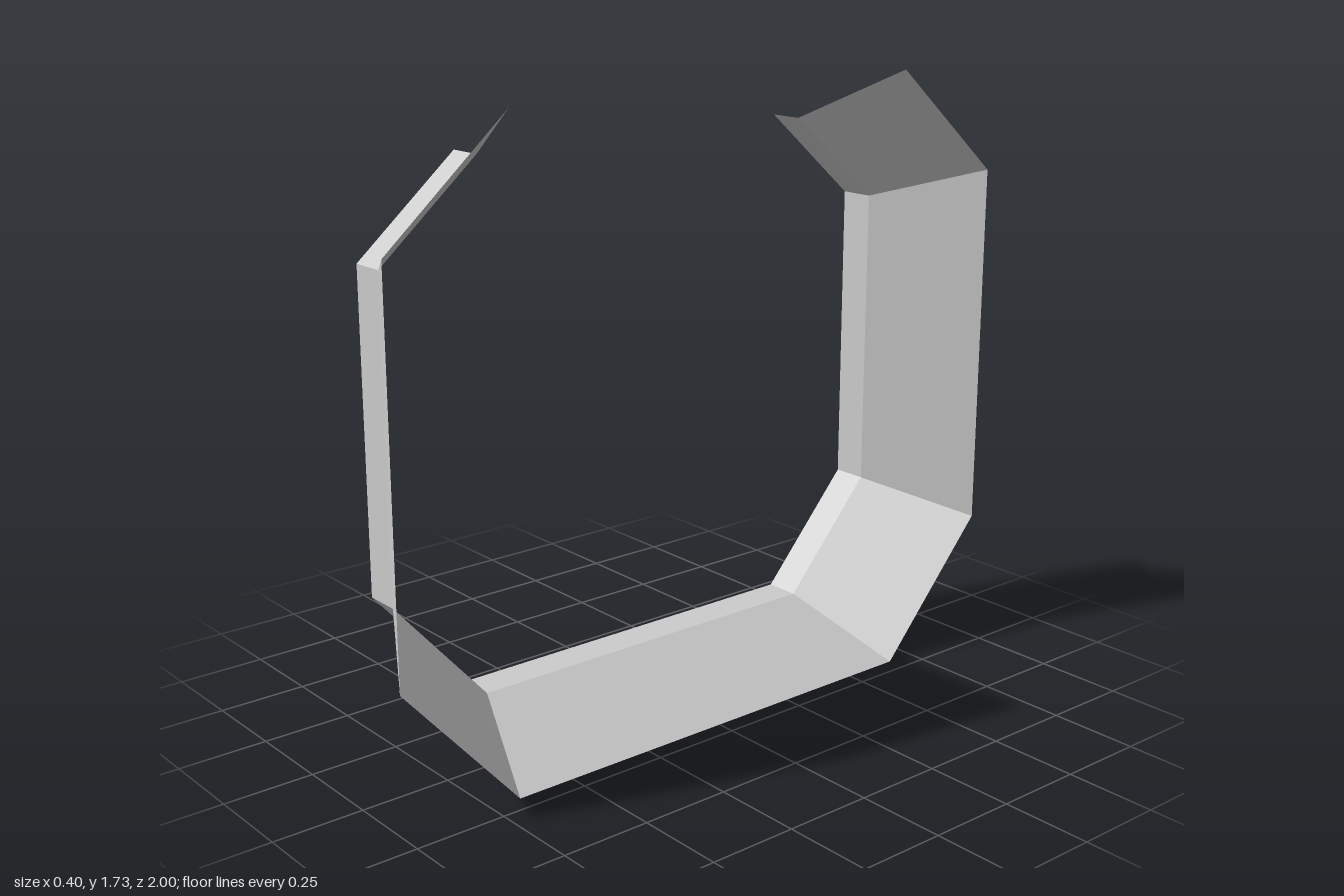
import * as THREE from 'three';

// Half outlines as [z, y], from the open upper tip down to the base
const innerHalf = [[0.54, 1.58], [0.83, 1.33], [0.83, 0.465], [0.555, 0.155]];
const outerHalf = [[0.65, 1.73], [1, 1.425], [1, 0.383], [0.665, 0.005]];

// Mirror a half outline across z = 0 and place it at a given x
function ring(half, x) {
  const mirrored = half.map(([z, y]) => [-z, y]).reverse();
  return [...half, ...mirrored].map(([z, y]) => new THREE.Vector3(x, y, z));
}

// Thin strip of flat panels joining two outlines, facing outward
function strip(a, b) {
  const points = [];
  for (let i = 0; i < a.length - 1; i++) {
    points.push(a[i], a[i + 1], b[i + 1], a[i], b[i + 1], b[i]);
  }
  const geometry = new THREE.BufferGeometry().setFromPoints(points);
  geometry.computeVertexNormals();
  return geometry;
}

export function createModel() {
  const group = new THREE.Group();
  group.name = 'openFrame';
  const material = new THREE.MeshStandardMaterial({
    color: 0xcccccc, flatShading: true, side: THREE.DoubleSide,
  });
  const add = (name, a, b) => {
    const mesh = new THREE.Mesh(strip(a, b), material);
    mesh.name = name;
    group.add(mesh);
  };

  const innerEdge = ring(innerHalf, -0.2);
  const fold = ring(innerHalf, -0.1);
  const outerEdge = ring(outerHalf, 0.2);

  add('innerCollar', innerEdge, fold); // straight band
  add('flaredRim', fold, outerEdge); // sloping band
  return group;
}
